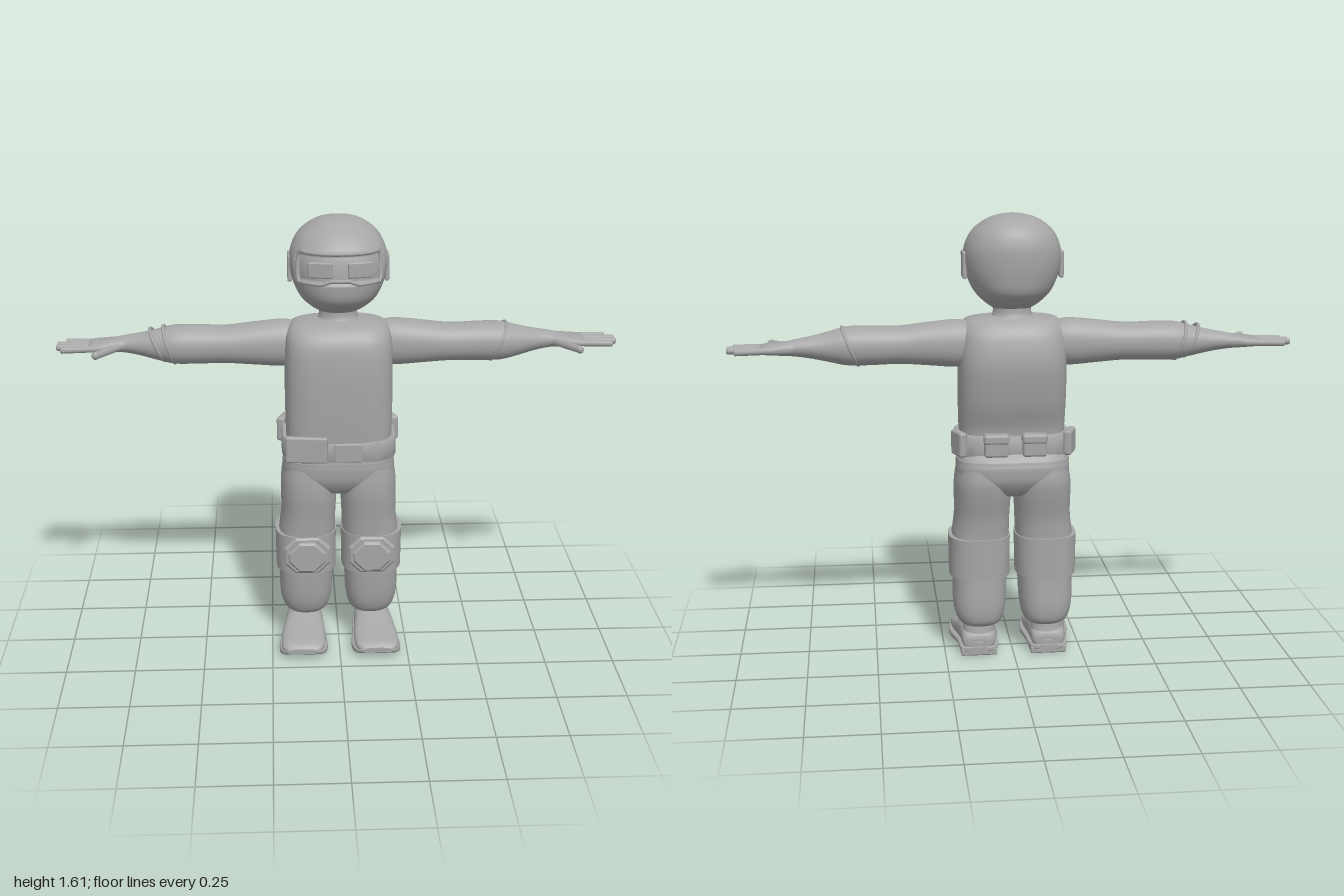
import * as THREE from 'three';
import { toCreasedNormals } from 'three/addons/utils/BufferGeometryUtils.js';
import { RoundedBoxGeometry } from 'three/addons/geometries/RoundedBoxGeometry.js';

const grey = new THREE.MeshStandardMaterial({ color: 0xa6a6a6 });
grey.name = 'plainGrey';

// Smooth interpolation through sections [t, cu, cv, ru, rv, n]
function sectionAt(sections, f) {
  const last = sections.length - 1;
  const i = Math.min(Math.floor(f), last - 1), s = f - i;
  const at = (k) => sections[Math.max(0, Math.min(last, k))];
  const [a, b, c, d] = [at(i - 1), at(i), at(i + 1), at(i + 2)];
  return b.map((p, k) => p + 0.5 * s * (c[k] - a[k]
    + s * (2 * a[k] - 5 * p + 4 * c[k] - d[k] + s * (3 * (p - c[k]) + d[k] - a[k]))));
}

// Point on a superellipse section; axes (u, v) are (z, x) for y, (y, z) for x, (x, y) for z
function ringPoint([t, cu, cv, ru, rv, n], angle, axis) {
  const pw = (w) => Math.sign(w) * Math.pow(Math.abs(w), 2 / n);
  const u = cu + ru * pw(Math.cos(angle)), v = cv + rv * pw(Math.sin(angle));
  return axis === 'y' ? [v, t, u] : axis === 'x' ? [t, u, v] : [u, v, t];
}

function loft(axis, sections, steps = 4, sides = 32) {
  const pos = [], index = [], rows = (sections.length - 1) * steps;
  for (let i = 0; i <= rows; i++) {
    const sec = sectionAt(sections, i / steps);
    for (let j = 0; j < sides; j++) pos.push(...ringPoint(sec, (j / sides) * Math.PI * 2, axis));
  }
  for (let i = 0; i < rows; i++) for (let j = 0; j < sides; j++) {
    const k = (j + 1) % sides, a = i * sides, b = a + sides;
    index.push(a + j, a + k, b + k, a + j, b + k, b + j);
  }
  // End caps with their own vertices
  for (const [row, top] of [[0, false], [rows, true]]) {
    const start = pos.length / 3, from = row * sides;
    const [t, cu, cv, , , n] = sectionAt(sections, row / steps);
    for (let j = 0; j < sides * 3; j++) pos.push(pos[from * 3 + j]);
    pos.push(...ringPoint([t, cu, cv, 0, 0, n], 0, axis));
    for (let j = 0; j < sides; j++) {
      const a = start + j, b = start + (j + 1) % sides;
      index.push(start + sides, top ? a : b, top ? b : a);
    }
  }
  const geo = new THREE.BufferGeometry();
  geo.setAttribute('position', new THREE.Float32BufferAttribute(pos, 3));
  geo.setIndex(index);
  geo.computeVertexNormals();
  return geo;
}

// Mirrored copy across x = 0 with the winding turned round
function mirror(source) {
  const geo = source.clone().scale(-1, 1, 1);
  const old = geo.index ? Array.from(geo.index.array) : Array.from({ length: geo.attributes.position.count }, (_, i) => i);
  for (let i = 0; i < old.length; i += 3) [old[i + 1], old[i + 2]] = [old[i + 2], old[i + 1]];
  geo.setIndex(old);
  return geo;
}

function roundBox(w, h, d, r, x, y, z, ry = 0) {
  return new RoundedBoxGeometry(w, h, d, 2, r).rotateY(ry).translate(x, y, z);
}
const tube = (points, r, closed = false) =>
  new THREE.TubeGeometry(new THREE.CatmullRomCurve3(points, closed), 48, r, 8, closed);

export function createModel() {
  const model = new THREE.Group();
  const add = (name, geo) => {
    const mesh = new THREE.Mesh(geo, grey);
    mesh.name = name;
    model.add(mesh);
  };
  const pair = (name, geo) => { add(name + 'Left', geo); add(name + 'Right', mirror(geo)); };

  // Helmet, with a shallow recess for the visor
  const head = [
    [1.275, -0.03, 0, 0.05, 0.065, 2], [1.30, -0.028, 0, 0.105, 0.1, 2.1], [1.34, -0.024, 0, 0.155, 0.137, 2.2],
    [1.40, -0.024, 0, 0.17, 0.163, 2.3], [1.46, -0.028, 0, 0.171, 0.172, 2.3], [1.51, -0.034, 0, 0.162, 0.163, 2.3],
    [1.555, -0.044, 0, 0.135, 0.137, 2.2], [1.59, -0.05, 0, 0.09, 0.09, 2.1], [1.605, -0.048, 0, 0.045, 0.045, 2], [1.61, -0.045, 0, 0.008, 0.008, 2],
  ];
  const helmet = loft('y', head, 8, 64), p = helmet.attributes.position;
  for (let i = 0; i < p.count; i++) {
    const y = p.getY(i), z = p.getZ(i);
    if (y > 1.415 && y < 1.505 && z > 0.065) p.setXYZ(i, p.getX(i) * 0.95, y, -0.027 + (z + 0.027) * 0.94);
  }
  helmet.computeVertexNormals();
  add('helmet', helmet);
  const onHead = (y, angle, grow = 1) => {
    let f = 0;
    while (f < head.length - 1 && sectionAt(head, f)[0] < y) f += 0.01;
    const s = sectionAt(head, f);
    return new THREE.Vector3(...ringPoint([y, s[1], 0, s[3] * grow, s[4] * grow, s[5]], angle, 'y'));
  };
  // Visor rim, dipping in the middle over the nose
  const rim = [];
  for (let k = -6; k <= 6; k++) rim.push(onHead(1.512, k * 0.16));
  for (let k = 6; k >= -6; k--) rim.push(onHead(1.41 + (Math.abs(k) < 2 ? 0.012 : 0), k * 0.16));
  add('visorRim', tube(rim, 0.007, true));
  pair('goggleLens', roundBox(0.085, 0.056, 0.014, 0.006, 0.068, 1.458, 0.127, 0.22));
  pair('earPlate', roundBox(0.016, 0.095, 0.078, 0.006, 0.17, 1.432, -0.038));
  // Raised seams over the crown
  const seam = [];
  for (let k = 0; k <= 12; k++) {
    const a = 0.52 + (k / 12) * 2.1;
    seam.push(new THREE.Vector3(0.052, 1.435 + 0.157 * Math.sin(a), -0.034 + 0.162 * Math.cos(a)));
  }
  pair('crownSeam', tube(seam, 0.003));

  add('neck', loft('y', [
    [1.20, -0.025, 0, 0.1, 0.11, 2.2], [1.235, -0.028, 0, 0.085, 0.09, 2.1], [1.255, -0.03, 0, 0.063, 0.07, 2], [1.30, -0.03, 0, 0.06, 0.066, 2],
  ]));
  add('torso', loft('y', [
    [0.77, 0.005, 0, 0.12, 0.187, 3.5], [0.85, 0.006, 0, 0.124, 0.19, 3.5], [0.95, -0.008, 0, 0.142, 0.192, 3.5],
    [1.08, -0.018, 0, 0.153, 0.192, 3.5], [1.17, -0.016, 0, 0.143, 0.19, 3.3], [1.215, -0.016, 0, 0.122, 0.18, 3],
    [1.24, -0.018, 0, 0.092, 0.155, 2.7], [1.25, -0.025, 0, 0.06, 0.09, 2.2],
  ]));

  // Belt with pouches
  add('belt', toCreasedNormals(loft('y', [
    [0.755, -0.008, 0, 0.136, 0.203, 3.6], [0.76, -0.008, 0, 0.138, 0.206, 3.6], [0.825, -0.005, 0, 0.134, 0.206, 3.6], [0.83, -0.005, 0, 0.132, 0.203, 3.6],
  ], 1, 48), 0.6));
  pair('hipPouch', roundBox(0.03, 0.09, 0.085, 0.01, 0.197, 0.807, -0.115, 0.35));
  pair('backPouch', roundBox(0.085, 0.08, 0.04, 0.01, 0.068, 0.803, -0.152));
  pair('pouchFlap', roundBox(0.09, 0.035, 0.046, 0.01, 0.068, 0.828, -0.153));
  add('frontPouch', roundBox(0.15, 0.098, 0.024, 0.008, -0.118, 0.803, 0.122, -0.1));
  add('beltBuckle', roundBox(0.1, 0.07, 0.014, 0.005, 0.03, 0.792, 0.13));

  // Trousers
  add('trouserSeat', loft('y', [
    [0.595, -0.025, 0, 0.05, 0.06, 2.2], [0.615, -0.028, 0, 0.105, 0.13, 2.5], [0.66, -0.03, 0, 0.138, 0.195, 3],
    [0.70, -0.03, 0, 0.147, 0.204, 3.2], [0.735, -0.028, 0, 0.146, 0.2, 3.3], [0.77, -0.015, 0, 0.128, 0.196, 3.3],
  ]));
  add('waistSeam', loft('y', [[0.732, -0.03, 0, 0.15, 0.202, 3.3], [0.742, -0.029, 0, 0.149, 0.202, 3.3]], 1));
  pair('trouserLeg', loft('y', [
    [0.115, -0.035, 0.12, 0.075, 0.066, 2.4], [0.135, -0.035, 0.121, 0.096, 0.083, 2.5], [0.19, -0.03, 0.122, 0.109, 0.096, 2.6],
    [0.30, -0.022, 0.12, 0.112, 0.099, 2.6], [0.42, -0.02, 0.118, 0.113, 0.104, 2.6], [0.52, -0.02, 0.111, 0.121, 0.1, 2.6],
    [0.60, -0.025, 0.109, 0.136, 0.102, 2.6], [0.66, -0.03, 0.109, 0.142, 0.1, 2.6], [0.71, -0.03, 0.108, 0.138, 0.092, 2.6],
  ]));

  // Knee guards
  pair('kneeBand', toCreasedNormals(loft('y', [
    [0.302, -0.022, 0.121, 0.118, 0.11, 2.7], [0.45, -0.022, 0.121, 0.12, 0.112, 2.7],
  ], 1, 40), 0.6));
  const octagon = (w, h, depth, z) => {
    const c = 0.036, shape = new THREE.Shape([
      [-w + c, -h], [w - c, -h], [w, -h + c], [w, h - c], [w - c, h], [-w + c, h], [-w, h - c], [-w, -h + c],
    ].map(([x, y]) => new THREE.Vector2(x, y)));
    return new THREE.ExtrudeGeometry(shape, { depth, bevelEnabled: true, bevelSize: 0.007, bevelThickness: 0.007, bevelSegments: 1 })
      .translate(0.118, 0.378, z);
  };
  pair('kneePadBase', octagon(0.076, 0.063, 0.022, 0.076));
  pair('kneePadCap', octagon(0.062, 0.05, 0.012, 0.104));

  // Shoes: ankle, upper, sole and heel
  pair('ankle', loft('y', [
    [0.05, -0.05, 0.126, 0.058, 0.062, 2.3], [0.10, -0.049, 0.126, 0.048, 0.058, 2.2], [0.16, -0.048, 0.126, 0.044, 0.055, 2.1],
  ]));
  pair('shoeUpper', loft('z', [
    [-0.106, 0.128, 0.045, 0.03, 0.02, 2.5], [-0.095, 0.128, 0.053, 0.058, 0.034, 2.6], [-0.04, 0.128, 0.066, 0.066, 0.048, 2.6],
    [0.015, 0.13, 0.064, 0.071, 0.046, 2.6], [0.06, 0.132, 0.056, 0.077, 0.038, 2.7], [0.12, 0.135, 0.047, 0.081, 0.028, 2.8],
    [0.175, 0.137, 0.041, 0.076, 0.02, 2.7], [0.197, 0.138, 0.037, 0.052, 0.008, 2.3],
  ]));
  pair('shoeSole', loft('z', [
    [-0.11, 0.128, 0.026, 0.038, 0.008, 5], [-0.095, 0.128, 0.026, 0.066, 0.01, 5], [-0.02, 0.128, 0.026, 0.074, 0.01, 5],
    [0.04, 0.131, 0.02, 0.081, 0.012, 5], [0.11, 0.134, 0.016, 0.09, 0.014, 5], [0.17, 0.136, 0.023, 0.083, 0.013, 5], [0.2, 0.137, 0.034, 0.055, 0.008, 4],
  ]));
  pair('shoeHeel', roundBox(0.132, 0.028, 0.088, 0.006, 0.128, 0.014, -0.062));

  // Sleeves
  pair('sleeve', loft('x', [
    [0.15, 1.155, -0.04, 0.075, 0.068, 2.2], [0.20, 1.154, -0.04, 0.084, 0.075, 2.2], [0.30, 1.153, -0.038, 0.076, 0.073, 2.2],
    [0.40, 1.151, -0.038, 0.067, 0.071, 2.2], [0.50, 1.151, -0.042, 0.069, 0.073, 2.2], [0.58, 1.151, -0.043, 0.068, 0.074, 2.2],
    [0.64, 1.150, -0.046, 0.055, 0.062, 2.1], [0.70, 1.150, -0.053, 0.041, 0.047, 2], [0.75, 1.150, -0.058, 0.032, 0.038, 2], [0.79, 1.148, -0.058, 0.026, 0.035, 2],
  ]));
  // Slanted forearm straps; the right arm carries one more
  const strap = (x, slant, ry, rz) => {
    const pts = [];
    for (let k = 0; k < 16; k++) {
      const a = (k / 16) * Math.PI * 2;
      pts.push(new THREE.Vector3(x + slant * Math.sin(a), 1.15 + ry * Math.sin(a), -0.044 + rz * Math.cos(a)));
    }
    return tube(pts, 0.006, true);
  };
  add('forearmStrapLeft', strap(0.572, 0.028, 0.067, 0.073));
  add('forearmStrapRightInner', strap(-0.60, -0.02, 0.066, 0.07));
  add('forearmStrapRightOuter', strap(-0.64, -0.026, 0.057, 0.062));

  // Hands
  pair('palm', loft('x', [
    [0.74, 1.149, -0.058, 0.024, 0.032, 2.1], [0.79, 1.148, -0.056, 0.025, 0.043, 2.3], [0.83, 1.147, -0.054, 0.021, 0.055, 2.5],
    [0.87, 1.146, -0.054, 0.016, 0.058, 2.7], [0.885, 1.146, -0.054, 0.01, 0.054, 2.7],
  ]));
  const finger = (from, to, r) => tube([from, from.clone().lerp(to, 0.5), to], r);
  [[-0.102, 0.965], [-0.071, 0.993], [-0.039, 0.993], [-0.008, 0.975]].forEach(([z, tip], i) => {
    const spread = (z + 0.055) * 0.1;
    pair('finger' + (i + 1), finger(new THREE.Vector3(0.85, 1.146, z), new THREE.Vector3(tip, 1.144, z + spread), 0.0115));
    pair('fingertip' + (i + 1), new THREE.SphereGeometry(0.0115, 10, 8).scale(0.6, 1, 1).translate(tip, 1.144, z + spread));
  });
  pair('thumb', finger(new THREE.Vector3(0.775, 1.147, -0.03), new THREE.Vector3(0.85, 1.145, 0.065), 0.014));
  pair('thumbTip', new THREE.SphereGeometry(0.014, 10, 8).translate(0.85, 1.145, 0.065));

  return model;
}
